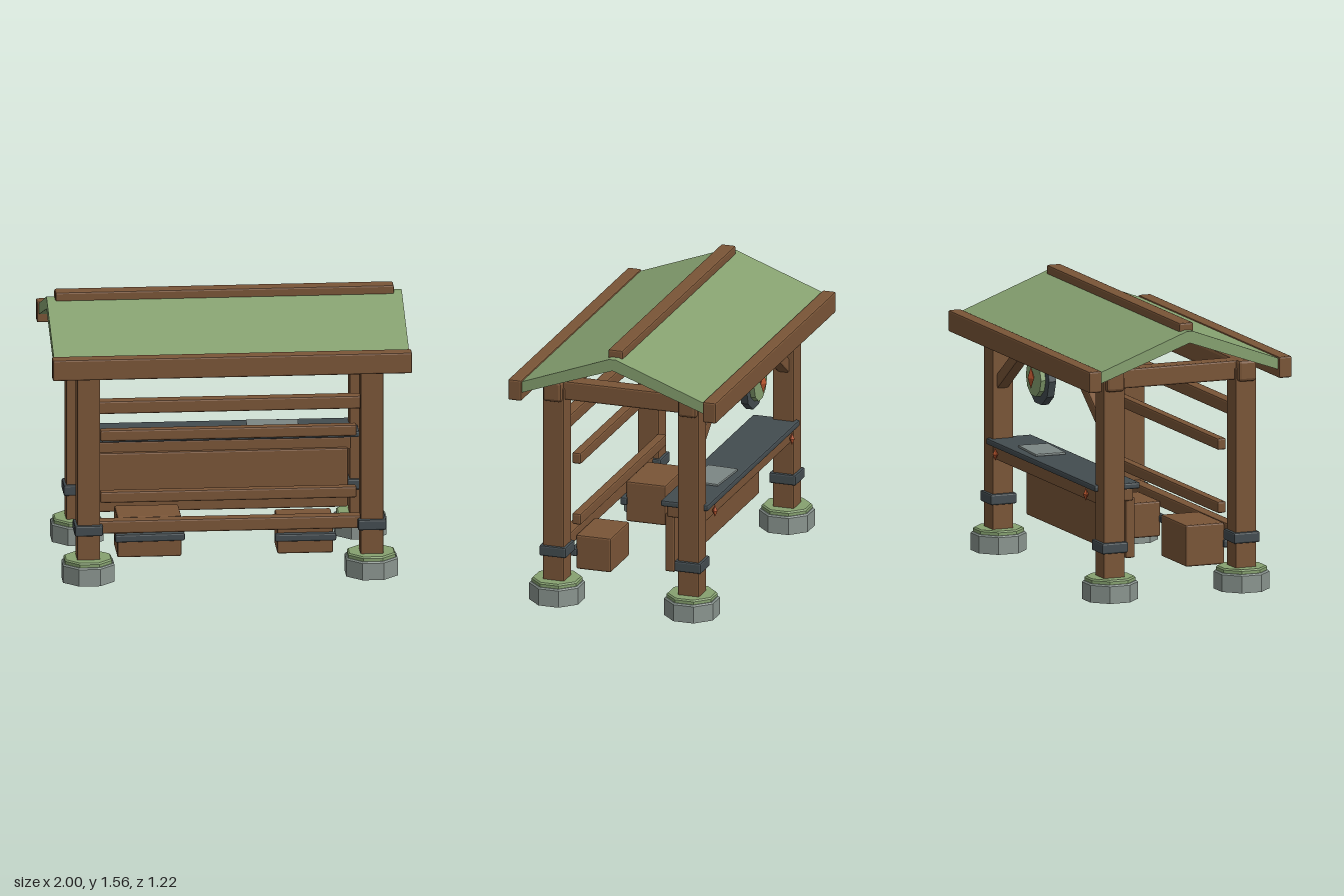
import * as THREE from 'three';
import { RoundedBoxGeometry } from 'three/addons/geometries/RoundedBoxGeometry.js';

const mat = (color) => new THREE.MeshStandardMaterial({ color, flatShading: true });

export function createModel() {
  const model = new THREE.Group();
  const wood = mat(0x7a5537), green = mat(0x86a170), iron = mat(0x434c50);
  const stone = mat(0x8a958f), slate = mat(0x7c8684), copper = mat(0xb4522c);

  const add = (name, geometry, material, x = 0, y = 0, z = 0) => {
    const mesh = new THREE.Mesh(geometry, material);
    mesh.name = name;
    mesh.position.set(x, y, z);
    model.add(mesh);
    return mesh;
  };
  // Chamfered block given by its extents on each axis
  const block = (name, material, [x0, x1], [y0, y1], [z0, z1], bevel = 0.01) =>
    add(name, new RoundedBoxGeometry(x1 - x0, y1 - y0, z1 - z0, 1, bevel), material,
      (x0 + x1) / 2, (y0 + y1) / 2, (z0 + z1) / 2);
  // Eight-sided slab with a chamfered top
  const octagon = (r, h) => new THREE.LatheGeometry(
    [[0, 0], [r, 0], [r, h - 0.008], [r - 0.008, h], [0, h]].map(([a, b]) => new THREE.Vector2(a, b)),
    8, Math.PI / 8);
  const gem = (name, sx, sy, sz, x, y, z) =>
    add(name, new THREE.OctahedronGeometry(1), copper, x, y, z).scale.set(sx, sy, sz);

  // Posts with stone feet, moss and iron collars
  const px = 0.788, pz = 0.397;
  for (const sx of [-1, 1]) {
    for (const sz of [-1, 1]) {
      const x = sx * px, z = sz * pz;
      add('stoneFoot', octagon(0.155, 0.105), stone, x, 0, z);
      add('mossPad', octagon(0.142, 0.027), green, x, 0.103, z);
      block('post', wood, [x - 0.064, x + 0.064], [0.12, 1.26], [z - 0.063, z + 0.063], 0.008);
      block('collar', iron, [x - 0.079, x + 0.079], [0.268, 0.33], [z - 0.079, z + 0.079]);
    }
    // Cross beam at each gable
    block('crossBeam', wood, [sx * px - 0.05, sx * px + 0.05], [1.19, 1.3], [-0.38, 0.38]);
    // Diagonal brace between back post and plate
    const brace = add('brace', new RoundedBoxGeometry(0.38, 0.072, 0.07, 1, 0.01), wood,
      sx * 0.605, 1.055, -pz);
    brace.rotation.z = -sx * 0.625;
  }

  // Wall plates and eave beams, front and back
  for (const s of [-1, 1]) {
    const span = (a, b) => (s > 0 ? [a, b] : [-b, -a]);
    block('wallPlate', wood, [-0.88, 0.88], [1.182, 1.305], span(0.342, 0.452), 0.018);
    block('eaveBeam', wood, [-1, 1], [1.212, 1.333], span(0.533, 0.612));
  }

  // Gabled roof, extruded along x
  const roofShape = new THREE.Shape([
    [-0.55, 1.255], [0, 1.45], [0.55, 1.255], [0.55, 1.318], [0.02, 1.515], [-0.02, 1.515], [-0.55, 1.318],
  ].map(([a, b]) => new THREE.Vector2(a, b)));
  const roof = add('roof', new THREE.ExtrudeGeometry(roofShape, { depth: 1.976, bevelEnabled: false })
    .translate(0, 0, -0.988), green);
  roof.rotation.y = Math.PI / 2;
  block('ridgeBeam', wood, [-0.942, 0.942], [1.5, 1.556], [-0.043, 0.043]);

  // Front rails: two between the posts, two behind them
  for (const [y0, y1] of [[0.27, 0.345], [0.962, 1.037]])
    block('rail', wood, [-0.735, 0.735], [y0, y1], [0.365, 0.435]);
  for (const [y0, y1] of [[0.418, 0.483], [0.775, 0.84]])
    block('innerRail', wood, [-0.715, 0.712], [y0, y1], [0.284, 0.337]);

  // Counter along the back
  block('counterTop', iron, [-0.77, 0.77], [0.605, 0.641], [-0.482, -0.205]);
  block('counterFrame', wood, [-0.725, 0.725], [0.53, 0.607], [-0.458, -0.225]);
  block('apron', wood, [-0.706, 0.706], [0.203, 0.545], [-0.266, -0.208]);
  const slab = add('slatePlate', new RoundedBoxGeometry(0.29, 0.014, 0.18, 1, 0.005), slate, 0.295, 0.647, -0.345);
  slab.rotation.y = -0.06;
  for (const s of [-1, 1]) gem('counterStud', 0.017, 0.036, 0.016, s * 0.64, 0.57, -0.479);

  // Crates behind the lower rail, each with an iron bar
  block('crate', wood, [-0.622, -0.265], [0.11, 0.345], [0.132, 0.365]);
  block('crate', wood, [0.268, 0.58], [0.11, 0.31], [0.155, 0.36]);
  block('crateBar', iron, [-0.637, -0.248], [0.206, 0.252], [0.355, 0.395]).rotation.z = 0.01;
  block('crateBar', iron, [0.253, 0.595], [0.187, 0.232], [0.35, 0.39]);

  // Round emblem on the back plate
  const disc = (name, r, sides, material, z0, z1) => {
    const geometry = new THREE.CylinderGeometry(r, r, z1 - z0, sides).rotateY(Math.PI / 2).rotateX(Math.PI / 2);
    return add(name, geometry, material, 0, 1.12, (z0 + z1) / 2);
  };
  disc('emblemRim', 0.157, 10, iron, -0.494, -0.452);
  disc('emblemFace', 0.108, 10, green, -0.522, -0.49);
  gem('emblemGem', 0.042, 0.063, 0.02, 0, 1.12, -0.537);

  return model;
}
